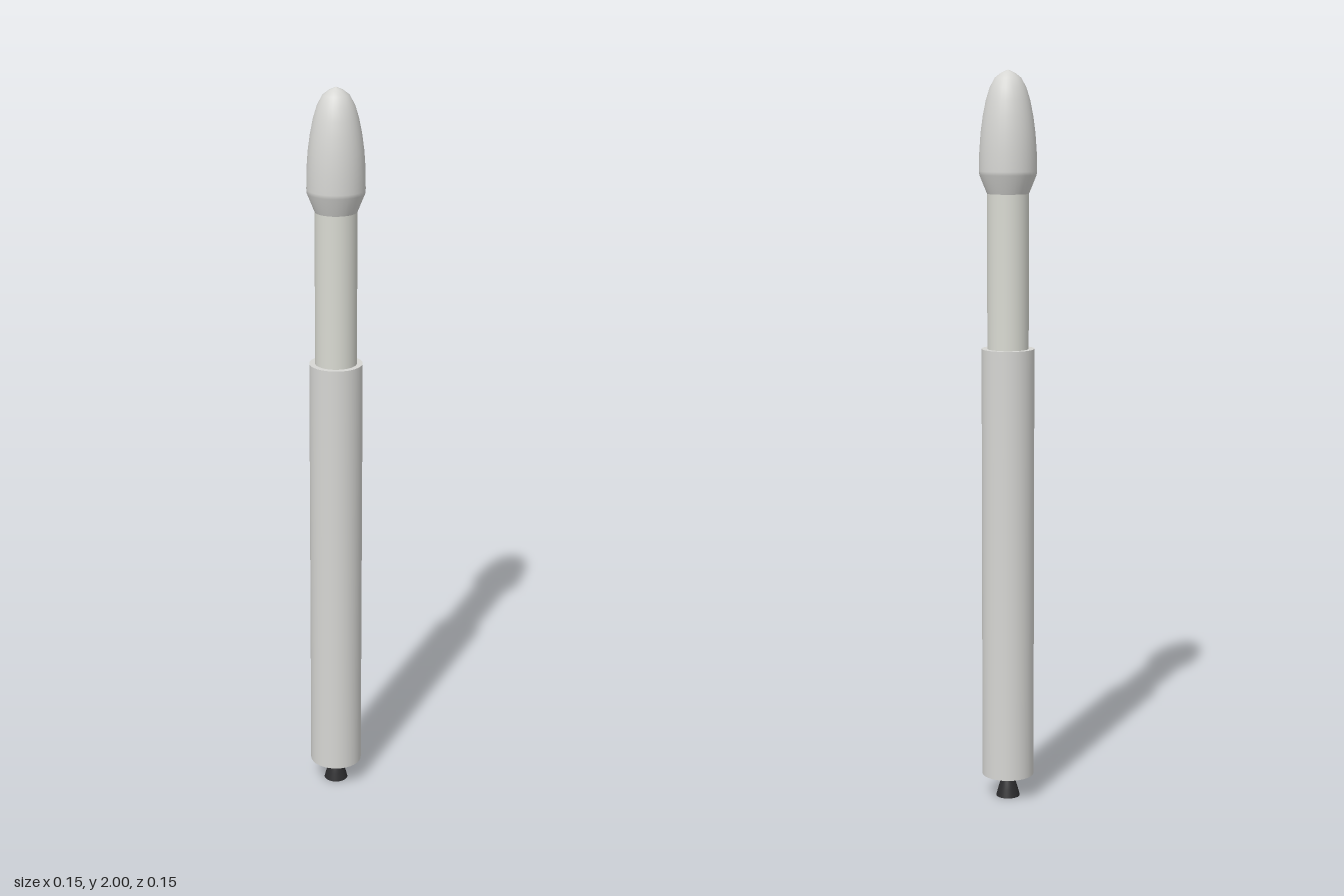
import * as THREE from 'three';

const SEGMENTS = 32;

export function createModel() {
  const rocket = new THREE.Group();
  rocket.name = 'rocket';

  const mat = (name, color) => {
    const m = new THREE.MeshStandardMaterial({ color });
    m.name = name;
    return m;
  };
  const white = mat('hull white', 0xd6d6d3);
  const warmWhite = mat('upper stage white', 0xd9dad2);
  const dark = mat('engine dark grey', 0x2c2c2e);

  const add = (name, geometry, material, y = 0) => {
    const mesh = new THREE.Mesh(geometry, material);
    mesh.name = name;
    mesh.position.y = y;
    rocket.add(mesh);
  };
  // Cylinder standing between two heights
  const column = (name, rTop, rBottom, y0, y1, material) =>
    add(name, new THREE.CylinderGeometry(rTop, rBottom, y1 - y0, SEGMENTS), material, (y0 + y1) / 2);

  // Engine bell, flared in a gentle curve and closed at the exit
  const bell = [[0, 0], [0.033, 0], [0.033, 0], [0.027, 0.022], [0.02, 0.045], [0.011, 0.065]];
  add('engineNozzle', new THREE.LatheGeometry(bell.map(p => new THREE.Vector2(...p)), SEGMENTS), dark);

  // First stage: white sides and top (groups 0, 1), dark underside (group 2)
  column('firstStage', 0.0715, 0.0715, 0.065, 1.26, [white, white, dark]);

  // Second stage
  column('secondStage', 0.056, 0.056, 1.26, 1.676, warmWhite);

  // Payload fairing: tapered base, short straight section, rounded nose
  const fairing = [
    [0, 1.675], [0.056, 1.675], [0.056, 1.675], [0.0765, 1.725], [0.077, 1.735],
    [0.0765, 1.785], [0.073, 1.835], [0.067, 1.88], [0.059, 1.92],
    [0.049, 1.953], [0.035, 1.979], [0.018, 1.992], [0, 2],
  ];
  add('payloadFairing', new THREE.LatheGeometry(fairing.map(p => new THREE.Vector2(...p)), SEGMENTS), white);

  return rocket;
}
